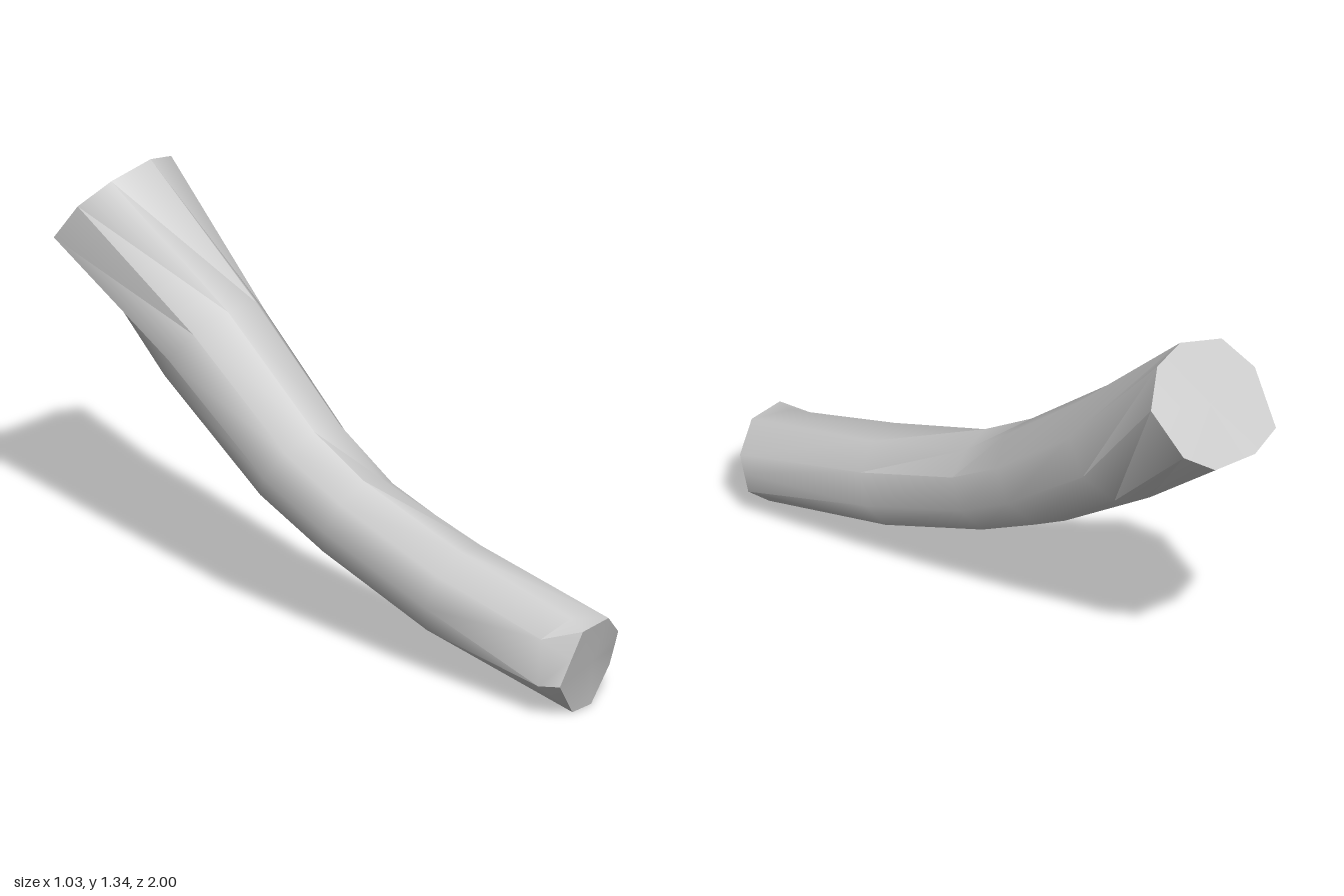
import * as THREE from 'three';
import { toCreasedNormals } from 'three/addons/utils/BufferGeometryUtils.js';

const V = (x, y, z) => new THREE.Vector3(x, y, z);
const SIDES = 9;

// Slanted front cap outline
const frontCap = [
  V(0.515, 0.22, 0.88), V(0.45, 0.3, 0.94), V(0.33, 0.3, 1), V(0.29, 0.215, 1), V(0.25, 0.13, 1),
  V(0.33, 0.005, 0.93), V(0.405, 0.01, 0.91), V(0.5, 0.1, 0.85), V(0.508, 0.16, 0.865),
];

// Rear cap outline
const rearCap = [
  V(-0.17, 1.315, -0.78), V(-0.27, 1.345, -0.725), V(-0.42, 1.31, -0.7), V(-0.505, 1.22, -0.76), V(-0.52, 1.07, -0.89),
  V(-0.42, 1.04, -0.96), V(-0.27, 1.04, -1), V(-0.17, 1.1, -0.985), V(-0.11, 1.22, -0.87),
];

// Bend of the tube: centre, radius and how far the upper left side is pressed in
const bend = [
  { c: V(0.375, 0.165, 0.93) },
  { c: V(0.16, 0.285, 0.49), r: 0.16, pinch: 0.96 },
  { c: V(0, 0.43, 0.13), r: 0.157, pinch: 0.86 },
  { c: V(-0.085, 0.55, -0.07), r: 0.168, pinch: 1 },
  { c: V(-0.2, 0.835, -0.435), r: 0.188, pinch: 1 },
  { c: V(-0.315, 1.19, -0.86) },
];

// Round section square to the bend
function section(i) {
  const { c, r, pinch } = bend[i];
  const t = bend[i + 1].c.clone().sub(bend[i - 1].c).normalize();
  const u = V(-t.z, 0, t.x).normalize();
  const v = u.clone().cross(t);
  return Array.from({ length: SIDES }, (_, k) => {
    const a = THREE.MathUtils.degToRad(25 + k * 360 / SIDES);
    const rad = r * (k === 1 ? pinch : 1);
    return c.clone().addScaledVector(u, Math.cos(a) * rad).addScaledVector(v, Math.sin(a) * rad);
  });
}

// Skin the rings and close both ends
function loft(rings) {
  const pos = [];
  const tri = (...pts) => pts.forEach((p) => pos.push(p.x, p.y, p.z));
  const centre = (ring) => ring.reduce((s, p) => s.add(p), V(0, 0, 0)).divideScalar(SIDES);
  const first = rings[0], last = rings[rings.length - 1];
  const c0 = centre(first), c1 = centre(last);
  for (let k = 0; k < SIDES; k++) {
    const n = (k + 1) % SIDES;
    for (let i = 0; i < rings.length - 1; i++) {
      const [a, b, c, d] = [rings[i][k], rings[i][n], rings[i + 1][n], rings[i + 1][k]];
      if (a !== d) tri(a, d, c);
      if (b !== c) tri(a, c, b);
    }
    tri(c0, first[k], first[n]);
    tri(c1, last[n], last[k]);
  }
  const g = new THREE.BufferGeometry();
  g.setAttribute('position', new THREE.Float32BufferAttribute(pos, 3));
  return toCreasedNormals(g, 0.85);
}

export function createModel() {
  const group = new THREE.Group();
  group.name = 'bentTube';

  // Body end behind the small bevel on one side of the front cap
  const collar = frontCap.slice();
  collar[2] = V(0.33, 0.315, 0.92);
  collar[3] = V(0.225, 0.265, 0.92);
  collar[4] = V(0.205, 0.12, 0.94);

  const rings = [frontCap, collar, ...[1, 2, 3, 4].map(section), rearCap];
  const tube = new THREE.Mesh(loft(rings), new THREE.MeshStandardMaterial({ color: 0xcccccc }));
  tube.name = 'curvedTube';
  group.add(tube);
  return group;
}
